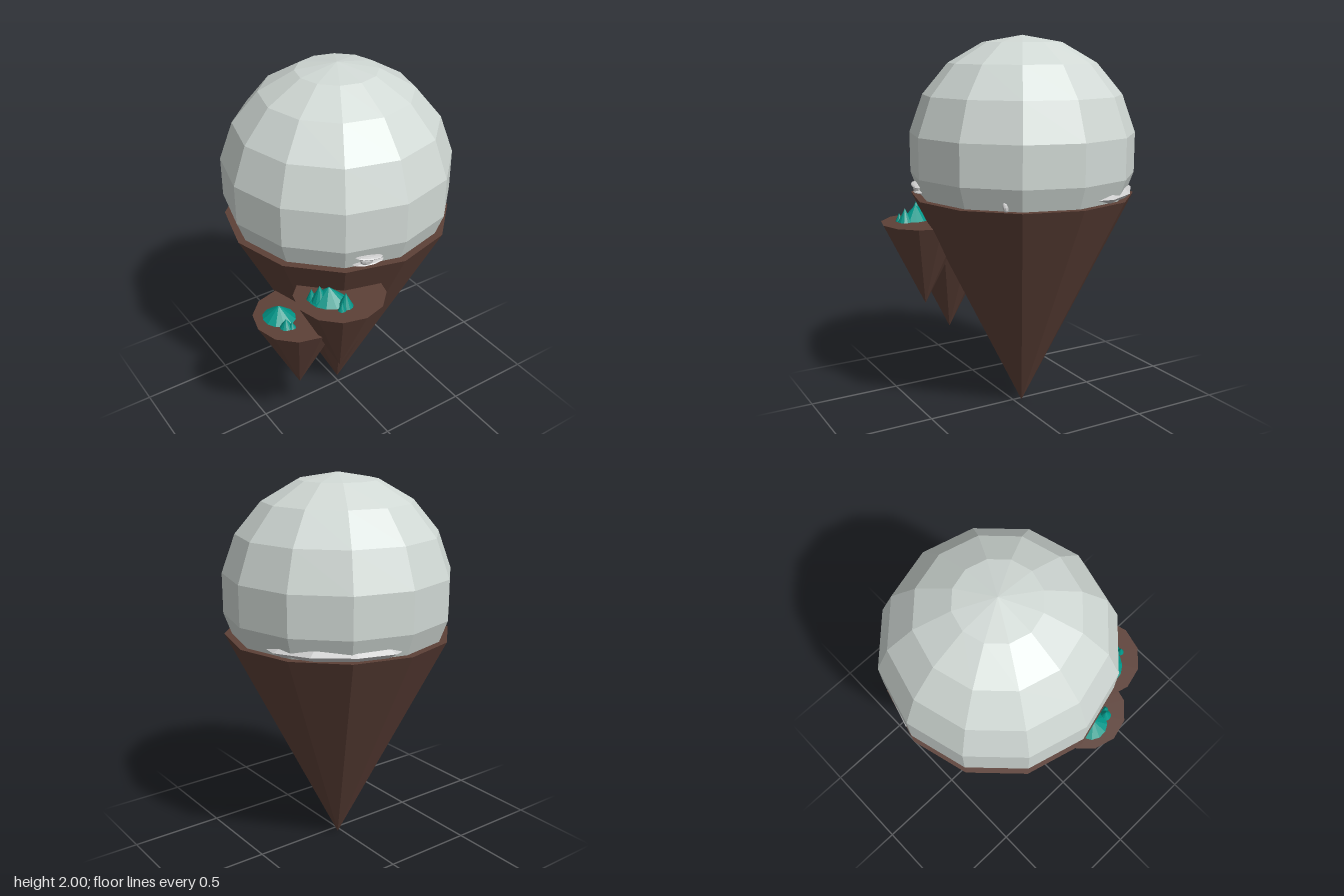
import * as THREE from 'three';

const paint = (color) => new THREE.MeshStandardMaterial({ color, flatShading: true });

export function createModel() {
  const model = new THREE.Group();
  const earth = paint(0x5d4037);
  const crystal = paint(0x009688);
  const glass = paint(0xd0d8d4);
  const stone = paint(0xcccccc);

  const add = (parent, name, geometry, material, x, y, z) => {
    const mesh = new THREE.Mesh(geometry, material);
    mesh.name = name;
    mesh.position.set(x, y, z);
    parent.add(mesh);
    return mesh;
  };

  // Floating island: a downward cone with a flat top
  const island = (name, r, top, bottom, x, z) =>
    add(model, name, new THREE.CylinderGeometry(r, 0, top - bottom, 12), earth, x, (top + bottom) / 2, z);

  const cx = 0.022, cz = -0.042;
  island('mainIsland', 0.59, 1.185, 0, cx, cz);
  island('upperSideIsland', 0.23, 1.02, 0.56, -0.262, 0.405);
  island('lowerSideIsland', 0.23, 0.82, 0.355, -0.386, 0.204);

  // Faceted dome
  add(model, 'dome', new THREE.SphereGeometry(0.6, 12, 9), glass, cx, 1.4, cz);

  // Crystal clusters; each spike: x, z, length radius, width radius, height, turn
  const cluster = (name, y, spikes) => {
    const group = new THREE.Group();
    group.name = name;
    for (const [x, z, a, b, h, turn] of spikes) {
      const spike = add(group, 'crystalSpike', new THREE.ConeGeometry(1, h, 12), crystal, x, y + h / 2, z);
      spike.scale.set(a, 1, b);
      spike.rotation.y = turn;
    }
    model.add(group);
  };
  cluster('upperCrystals', 1.02, [
    [-0.335, 0.42, 0.1, 0.075, 0.08, -0.75],
    [-0.375, 0.4, 0.045, 0.045, 0.09, 0],
    [-0.4, 0.365, 0.025, 0.025, 0.06, 0],
    [-0.292, 0.5, 0.038, 0.038, 0.075, 0],
    [-0.327, 0.52, 0.02, 0.02, 0.045, 0],
  ]);
  cluster('lowerCrystals', 0.82, [
    [-0.478, 0.175, 0.09, 0.082, 0.07, -1.3],
    [-0.49, 0.265, 0.033, 0.033, 0.05, 0],
    [-0.468, 0.285, 0.02, 0.02, 0.035, 0],
  ]);

  // Stones breaking through the dome near the rim
  const chip = (name, x, y, z, sx, sy, sz, turn, tilt = 0) => {
    const mesh = add(model, name, new THREE.SphereGeometry(1, 10, 6), stone, x, y, z);
    mesh.scale.set(sx, sy, sz);
    mesh.rotation.set(0, turn, tilt);
  };
  const a = 2.47;
  chip('rearStone', cx + 0.38 * Math.sin(a), 1.21, cz + 0.38 * Math.cos(a), 0.36, 0.05, 0.2, a);
  chip('frontStone', -0.15, 1.242, 0.488, 0.07, 0.01, 0.03, -0.26, -0.1);
  chip('frontStone', -0.16, 1.225, 0.483, 0.035, 0.03, 0.02, -0.26);
  chip('frontStone', -0.145, 1.205, 0.472, 0.08, 0.008, 0.035, -0.26, 0.05);
  chip('sideStone', 0.44, 1.205, 0.29, 0.015, 0.03, 0.03, 0.9, 0.2);

  return model;
}
